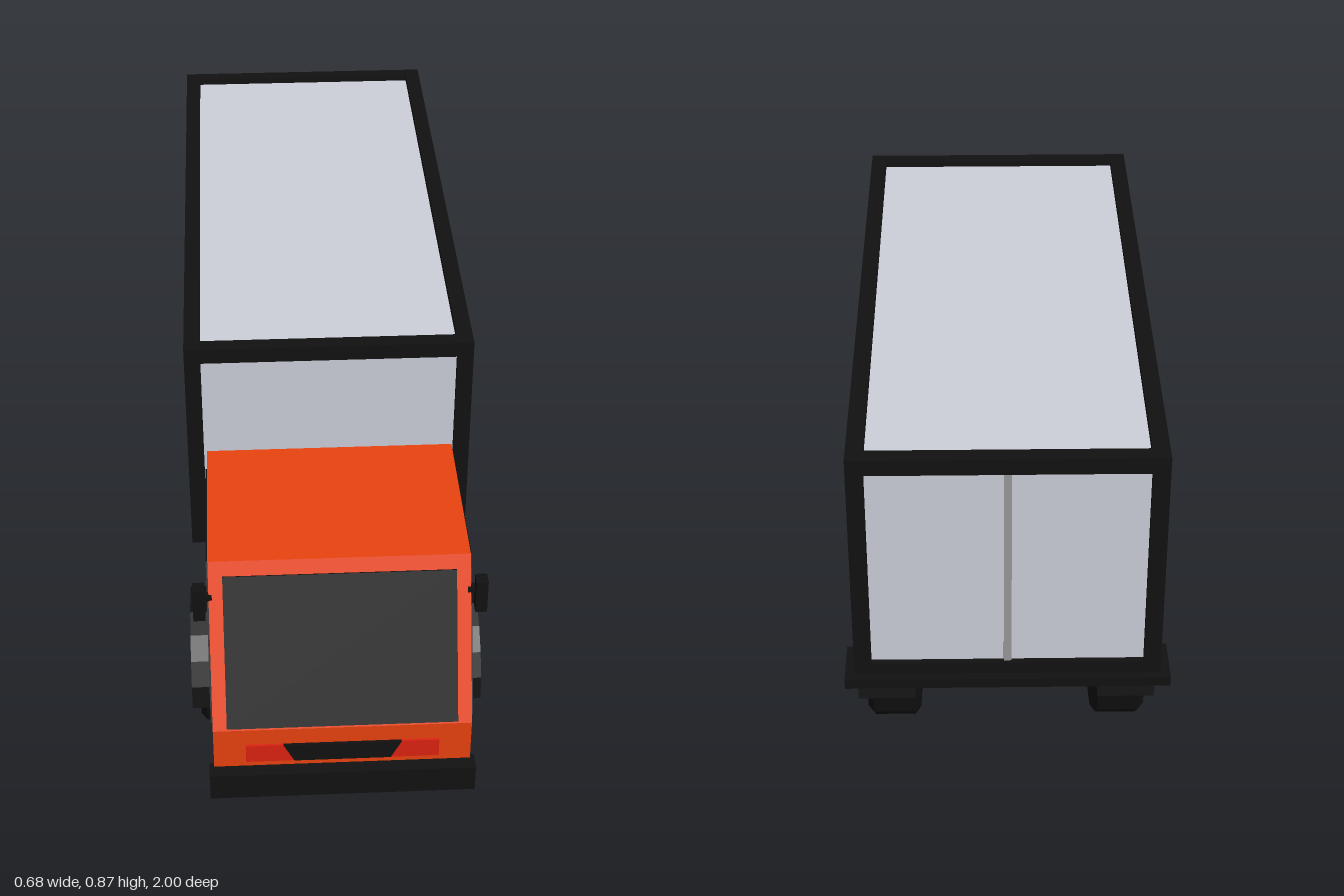
import * as THREE from 'three';

const mat = (color) => new THREE.MeshStandardMaterial({ color, flatShading: true });

export function createModel() {
  const truck = new THREE.Group();
  const black = mat(0x111111), orange = mat(0xe8420f), silver = mat(0xcccfd9);
  const red = mat(0xdd2210), steel = mat(0x7a7a7a), lightSteel = mat(0x999999);

  const add = (name, geometry, material, parent = truck) => {
    const mesh = new THREE.Mesh(geometry, material);
    mesh.name = name;
    parent.add(mesh);
    return mesh;
  };
  // Box given by its limits on each axis
  const box = (name, material, [x0, x1], [y0, y1], [z0, z1], parent) => {
    const mesh = add(name, new THREE.BoxGeometry(Math.abs(x1 - x0), y1 - y0, z1 - z0), material, parent);
    mesh.position.set((x0 + x1) / 2, (y0 + y1) / 2, (z0 + z1) / 2);
    return mesh;
  };
  const toShape = (points) => new THREE.Shape(points.map(([a, b]) => new THREE.Vector2(a, b)));
  // Side profile of [z, y] points, extruded across x
  const profile = (name, material, points, x0, x1, parent) => {
    const g = new THREE.ExtrudeGeometry(toShape(points), { depth: x1 - x0, bevelEnabled: false });
    g.rotateY(-Math.PI / 2).translate(x1, 0, 0);
    return add(name, g, material, parent);
  };
  // [z, y] points of an arc, angles measured from the front
  const arc = (cz, cy, r, a0, a1, n) => Array.from({ length: n + 1 }, (_, i) => {
    const a = a0 + (a1 - a0) * i / n;
    return [cz + r * Math.cos(a), cy + r * Math.sin(a)];
  });
  const group = (name) => {
    const g = new THREE.Group();
    g.name = name;
    truck.add(g);
    return g;
  };

  // Cab with wheel arch cut through it
  const cab = group('cab');
  profile('cabBody', orange, [
    [0.425, 0.21], ...arc(0.6, 0.15, 0.164, Math.PI - 0.376, -0.184, 8),
    [0.97, 0.12], [0.97, 0.27], [0.815, 0.61], [0.425, 0.61],
  ], -0.277, 0.277, cab);

  // Windscreen lying on the sloped front
  const slopeZ = (y) => 0.97 - (y - 0.27) * 0.456;
  const [lo, hi, nz, ny] = [0.275, 0.58, 0.0045, 0.002];
  profile('windscreen', black, [
    [slopeZ(lo) - nz, lo - ny], [slopeZ(lo) + nz, lo + ny],
    [slopeZ(hi) + nz, hi + ny], [slopeZ(hi) - nz, hi - ny],
  ], -0.247, 0.247, cab);

  // Grille, lights and bumper
  const grille = toShape([[-0.104, 0.182], [0.104, 0.182], [0.127, 0.228], [-0.127, 0.228]]);
  add('grille', new THREE.ExtrudeGeometry(grille, { depth: 0.01, bevelEnabled: false })
    .translate(0, 0, 0.966), black, cab);
  box('frontBumper', black, [-0.287, 0.287], [0.1, 0.166], [0.96, 1], cab);

  const sideWindow = [[0.952, 0.278], [0.798, 0.597], [0.522, 0.597], [0.522, 0.36], [0.623, 0.36], [0.757, 0.278]];
  const rearWindow = [[0.51, 0.38], [0.51, 0.578], [0.45, 0.578], [0.45, 0.38]];
  for (const s of [1, -1]) {
    const side = s > 0 ? 'left' : 'right';
    const light = toShape([[s * 0.104, 0.182], [s * 0.208, 0.182], [s * 0.208, 0.228], [s * 0.127, 0.228]]);
    add(side + 'Headlight', new THREE.ExtrudeGeometry(light, { depth: 0.009, bevelEnabled: false })
      .translate(0, 0, 0.966), red, cab);
    const x0 = s > 0 ? 0.272 : -0.281;
    profile(side + 'DoorWindow', black, sideWindow, x0, x0 + 0.009, cab);
    profile(side + 'RearWindow', black, rearWindow, x0, x0 + 0.009, cab);
    box(side + 'DoorHandle', black, [s * 0.275, s * 0.286], [0.323, 0.335], [0.525, 0.59], cab);
    box(side + 'MirrorArm', black, [s * 0.27, s * 0.295], [0.53, 0.545], [0.835, 0.85], cab);
    box(side + 'Mirror', black, [s * 0.285, s * 0.31], [0.495, 0.575], [0.84, 0.87], cab);
  }

  // Container walls: flat ends and grooved long sides, drawn in plan
  const container = group('container');
  const [front, back] = [0.392, -0.967];
  const sidePoints = [[0.303, front]];
  for (let i = 0; i < 15; i++) {
    const z = 0.31 - i * 0.085;
    sidePoints.push([0.303, z + 0.017], [0.284, z + 0.008], [0.284, z - 0.008], [0.303, z - 0.017]);
  }
  sidePoints.push([0.303, back]);
  const plan = [...sidePoints, ...sidePoints.map(([x, z]) => [-x, z]).reverse()];
  const walls = new THREE.ExtrudeGeometry(toShape(plan.map(([x, z]) => [x, -z])), { depth: 0.51, bevelEnabled: false });
  walls.rotateX(-Math.PI / 2).translate(0, 0.345, 0);
  add('corrugatedWalls', walls, silver, container);
  box('doorSeam', lightSteel, [-0.008, 0.008], [0.36, 0.838], [back - 0.006, back + 0.005], container);

  // Container frame
  const X = 0.32, Y0 = 0.33, Y1 = 0.87, Z0 = -0.98, Z1 = 0.405, t = 0.036;
  box('containerFloor', black, [-X, X], [Y0, Y0 + 0.03], [Z0, Z1], container);
  for (const s of [1, -1]) {
    box('topSideBeam', black, [s * (X - t), s * X], [Y1 - t, Y1], [Z0, Z1], container);
    for (const z of [Z0, Z1 - t]) {
      box('cornerPost', black, [s * (X - t), s * X], [Y0, Y1], [z, z + t], container);
    }
  }
  for (const z of [Z0, Z1 - t]) {
    box('topEndBeam', black, [-X + t, X - t], [Y1 - t, Y1], [z, z + t], container);
  }
  box('rearBumper', black, [-0.34, 0.34], [0.31, 0.332], [-1, -0.89], container);

  // Chassis rails and underfloor boxes
  const chassis = group('chassis');
  for (const s of [1, -1]) {
    box('chassisRail', black, [s * 0.18, s * 0.28], [0.2, 0.222], [-0.21, 0.45], chassis);
    for (let i = 0; i < 3; i++) {
      const z = 0.375 - i * 0.157;
      box('underfloorBox', black, [s * 0.18, s * 0.28], [0.228, 0.332], [z - 0.15, z], chassis);
    }
    box('underfloorBacking', black, [s * 0.19, s * 0.27], [0.215, 0.332], [-0.09, 0.37], chassis);
  }

  // Wheels and mudguards
  const lathe = (points) => new THREE.LatheGeometry(points.map(([r, y]) => new THREE.Vector2(r, y)), 12);
  const tyre = lathe([[0, -0.058], [0.135, -0.058], [0.153, -0.045], [0.153, 0.045], [0.138, 0.058], [0.092, 0.058], [0.085, 0.03]]);
  const rim = lathe([[0.094, 0.05], [0.09, 0.06], [0.08, 0.06], [0.068, 0.036], [0.055, 0.036]]);
  const hub = lathe([[0.056, 0.03], [0.05, 0.05], [0, 0.05]]);
  for (const [place, z] of [['front', 0.6], ['middle', -0.34], ['rear', -0.675]]) {
    for (const s of [1, -1]) {
      const wheel = group(place + (s > 0 ? 'Left' : 'Right') + 'Wheel');
      add('tyre', tyre, black, wheel);
      add('rim', rim, steel, wheel);
      add('hub', hub, lightSteel, wheel);
      wheel.rotation.z = -s * Math.PI / 2;
      wheel.position.set(s * 0.249, 0.153, z);
      // Half-ring mudguard with short flared ends
      const guard = [
        [z + 0.166, 0.145], ...arc(z, 0.15, 0.163, 0.3, Math.PI - 0.3, 7), [z - 0.166, 0.145],
        [z - 0.154, 0.145], ...arc(z, 0.15, 0.155, Math.PI - 0.3, 0.3, 7), [z + 0.154, 0.145],
      ];
      profile(place + 'Mudguard', black, guard, s > 0 ? 0.2 : -0.325, s > 0 ? 0.325 : -0.2);
    }
  }
  return truck;
}
